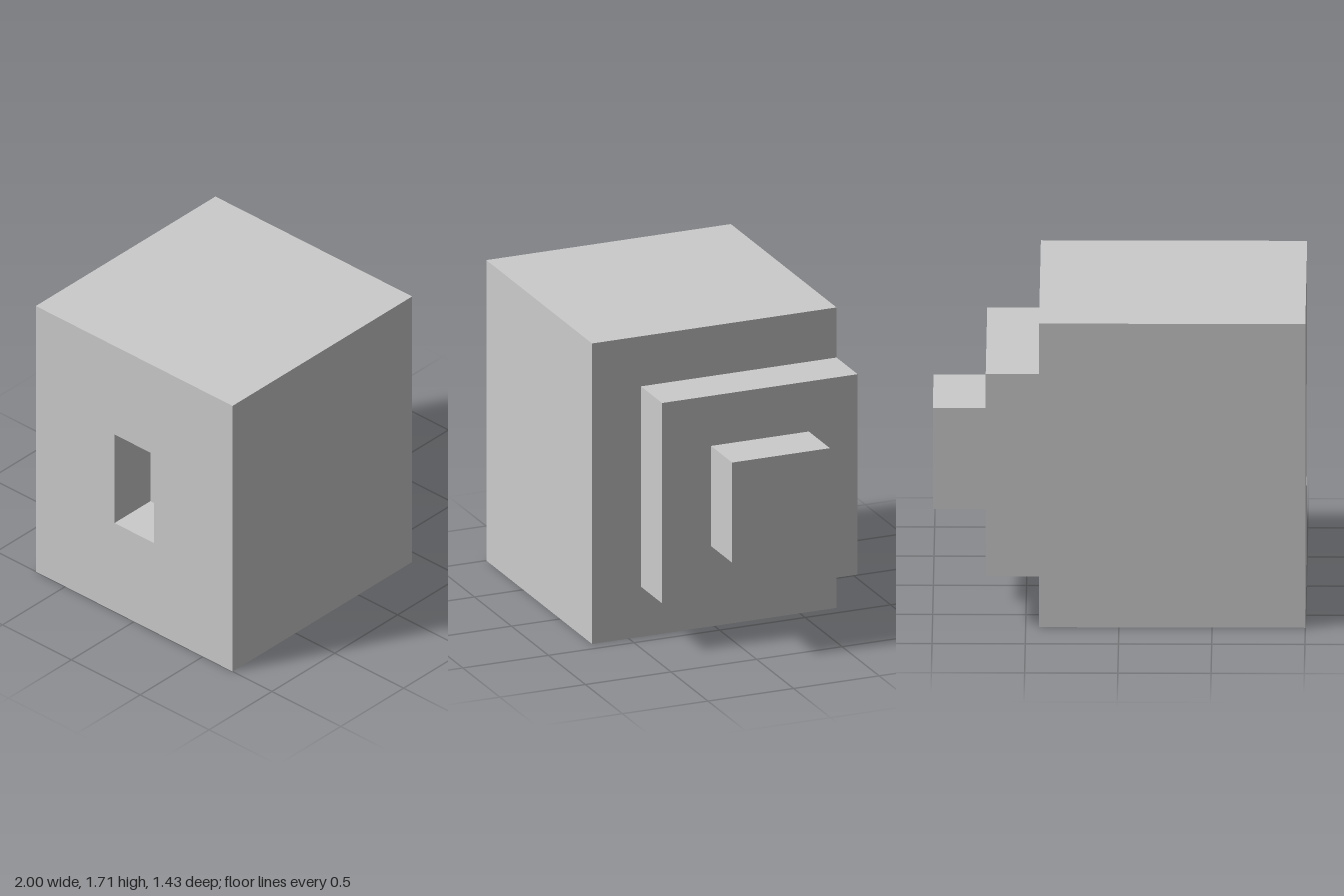
import * as THREE from 'three';

// Everything sits on a regular grid: 7 units span the longest side.
const U = 2 / 7;

export function createModel() {
  const group = new THREE.Group();
  const material = new THREE.MeshStandardMaterial({ color: 0xcccccc, flatShading: true });

  const add = (name, geometry) => {
    const mesh = new THREE.Mesh(geometry, material);
    mesh.name = name;
    group.add(mesh);
    return mesh;
  };

  // Box between two corners given in grid units
  const block = (name, [x0, y0, z0], [x1, y1, z1]) =>
    add(name, new THREE.BoxGeometry((x1 - x0) * U, (y1 - y0) * U, (z1 - z0) * U))
      .position.set((x0 + x1) / 2 * U, (y0 + y1) / 2 * U, (z0 + z1) / 2 * U);

  // Main body and the two offset steps on its +x side
  block('body', [-2.5, 0, -2.5], [1.5, 6, 2.5]);
  block('largeStep', [1.5, 1, -2.5], [2.5, 5, 1.5]);
  block('smallStep', [2.5, 2, -1.5], [3.5, 4, 0.5]);

  // Rectangle outline in the z-y plane
  const rect = (target, z0, y0, z1, y1) => {
    target.setFromPoints([[z0, y0], [z1, y0], [z1, y1], [z0, y1]]
      .map(([z, y]) => new THREE.Vector2(z * U, y * U)));
    target.closePath();
    return target;
  };

  // Wall on the -x side with a rectangular slot, closed off by the body behind it
  const wall = rect(new THREE.Shape(), -2.5, 0, 2.5, 6);
  wall.holes.push(rect(new THREE.Path(), -0.5, 2, 0.5, 4));
  const wallGeometry = new THREE.ExtrudeGeometry(wall, { depth: U, bevelEnabled: false });
  wallGeometry.rotateY(-Math.PI / 2);
  add('slottedWall', wallGeometry).position.x = -2.5 * U;

  return group;
}
